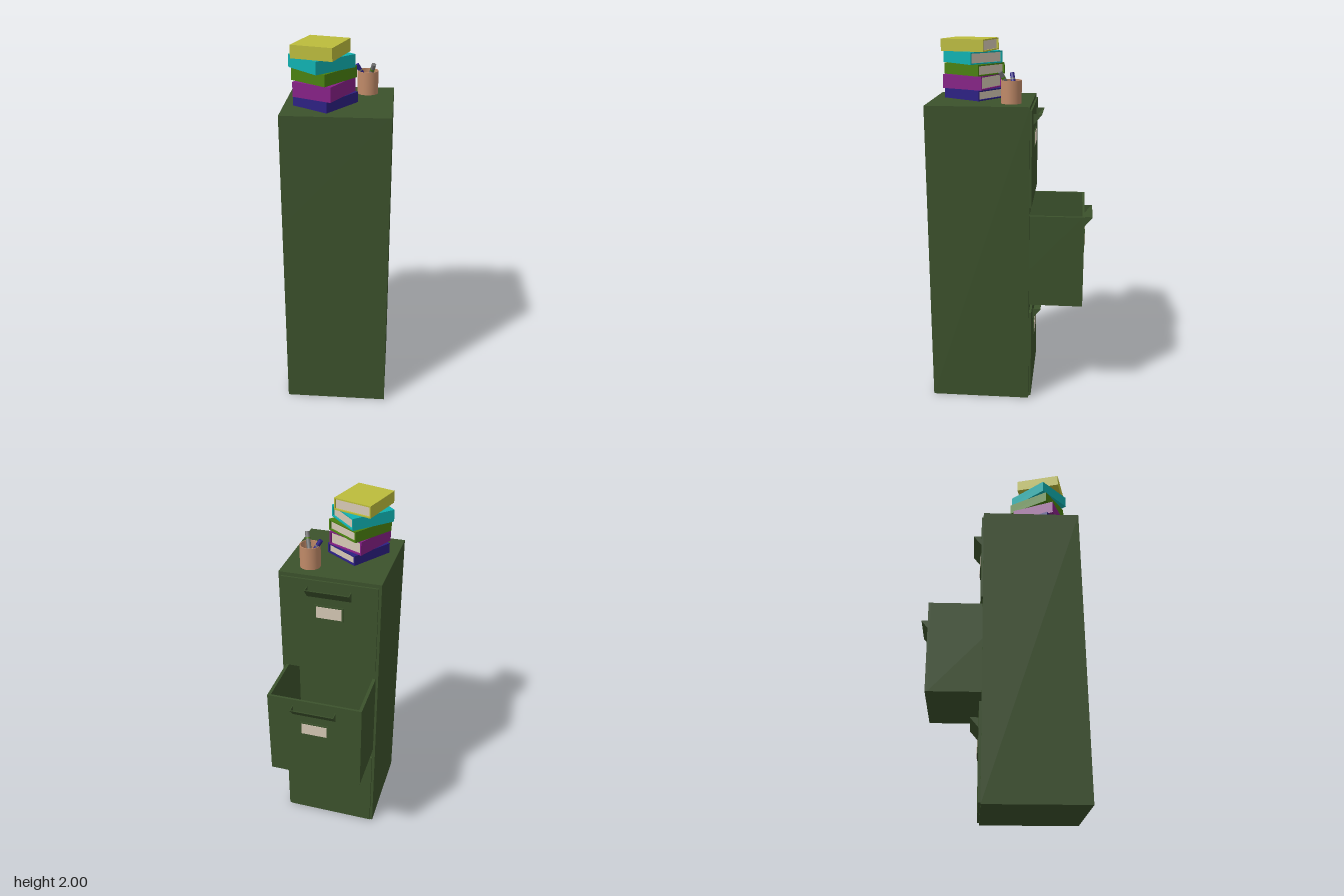
import * as THREE from 'three';

const mat = (name, color) => {
  const m = new THREE.MeshStandardMaterial({ color });
  m.name = name;
  return m;
};

export function createModel() {
  const model = new THREE.Group();
  model.name = 'filingCabinet';
  const steel = mat('cabinetGreen', 0x3c522c);
  const paper = mat('paper', 0xd6c8b5);
  const clay = mat('cupTan', 0xc08a68);
  const grey = mat('penGrey', 0x707070);
  const navy = mat('navy', 0x2c2082);
  const purple = mat('purple', 0x862086);
  const green = mat('bookGreen', 0x4a8010);
  const cyan = mat('cyan', 0x10b0b0);
  const yellow = mat('yellow', 0xbcbc3c);
  clay.side = THREE.DoubleSide;

  const add = (parent, name, geometry, material) => {
    const mesh = new THREE.Mesh(geometry, material);
    mesh.name = name;
    parent.add(mesh);
    return mesh;
  };
  // Box given by its limits on each axis
  const box = (parent, name, material, x0, x1, y0, y1, z0, z1) => {
    const mesh = add(parent, name, new THREE.BoxGeometry(x1 - x0, y1 - y0, z1 - z0), material);
    mesh.position.set((x0 + x1) / 2, (y0 + y1) / 2, (z0 + z1) / 2);
    return mesh;
  };
  const group = (parent, name) => {
    const g = new THREE.Group();
    g.name = name;
    parent.add(g);
    return g;
  };

  // Cabinet body, hollow behind the open drawer
  const body = group(model, 'cabinetBody');
  const back = 0.445, face = -0.105;
  for (const s of [-1, 1]) {
    box(body, 'sideWall', steel, Math.min(s * 0.262, s * 0.275), Math.max(s * 0.262, s * 0.275), 0, 1.68, face, back);
  }
  box(body, 'lowerBay', steel, -0.262, 0.262, 0, 0.575, face, back);
  box(body, 'upperBay', steel, -0.262, 0.262, 1.1, 1.68, face, back);
  box(body, 'backWall', steel, -0.262, 0.262, 0.575, 1.1, back - 0.013, back);

  // Wedge-shaped pull, open at the top; built in profile (out, up) and swept sideways
  const pullShape = (points) => {
    const s = new THREE.Shape(points.map(([a, b]) => new THREE.Vector2(a, b)));
    return s;
  };
  const pull = (parent, y, z) => {
    const g = group(parent, 'handle');
    g.position.set(0, y, z);
    g.rotation.y = Math.PI / 2; // profile +x points out to -z
    const sweep = (name, points, depth, offset) => {
      const geo = new THREE.ExtrudeGeometry(pullShape(points), { depth, bevelEnabled: false });
      add(g, name, geo, steel).position.z = offset;
    };
    sweep('handleLip', [[0, -0.057], [0.045, -0.003], [0.045, 0], [0.041, 0], [0, -0.05]], 0.24, -0.12);
    for (const offset of [-0.12, 0.116]) {
      sweep('handleEnd', [[0, -0.057], [0.045, -0.003], [0.045, 0], [0, 0]], 0.004, offset);
    }
  };

  // Drawer fronts with pull and label
  const drawerFront = (name, y0, y1, zFront, zBack) => {
    const g = group(model, name);
    box(g, 'drawerFront', steel, -0.26, 0.26, y0, y1, zFront, zBack);
    pull(g, y1 - 0.04, zFront);
    box(g, 'labelFrame', steel, -0.078, 0.078, y1 - 0.222, y1 - 0.14, zFront - 0.005, zFront);
    box(g, 'label', paper, -0.07, 0.07, y1 - 0.214, y1 - 0.148, zFront - 0.007, zFront - 0.004);
    return g;
  };
  drawerFront('topDrawer', 1.14, 1.66, -0.115, face);
  drawerFront('bottomDrawer', 0.01, 0.53, -0.118, face);

  // Open drawer tray
  const open = drawerFront('openDrawer', 0.58, 1.095, -0.4, -0.387);
  const trayEnd = 0.09;
  box(open, 'drawerSide', steel, -0.26, -0.243, 0.58, 1.095, -0.387, trayEnd);
  box(open, 'drawerSide', steel, 0.243, 0.26, 0.58, 1.095, -0.387, trayEnd);
  box(open, 'drawerBack', steel, -0.243, 0.243, 0.58, 1.095, trayEnd - 0.013, trayEnd);
  box(open, 'drawerFloor', steel, -0.243, 0.243, 0.58, 0.595, -0.387, trayEnd - 0.013);

  // Stack of books: [material, bottom, top, x, z, turn in degrees]
  const books = group(model, 'books');
  const w = 0.109, d = 0.125, t = 0.007;
  [
    [navy, 1.68, 1.735, -0.066, 0.225, 34],
    [purple, 1.735, 1.81, -0.071, 0.236, 25],
    [green, 1.81, 1.87, -0.072, 0.225, 34.8],
    [cyan, 1.87, 1.935, -0.0825, 0.236, 45],
    [yellow, 1.935, 2.0, -0.085, 0.25, 16],
  ].forEach(([m, y0, y1, x, z, turn]) => {
    const b = group(books, m.name + 'Book');
    const h = y1 - y0;
    box(b, 'lowerCover', m, -w, w, 0, t, -d, d);
    box(b, 'upperCover', m, -w, w, h - t, h, -d, d);
    box(b, 'spine', m, w - t, w, t, h - t, -d, d);
    box(b, 'foreEdge', m, -w, -w + t, t, h - t, -d, d);
    box(b, 'endCover', m, -w + t, w - t, t, h - t, d - t, d);
    box(b, 'pages', paper, -w + t, w - t, t, h - t, -d + 0.01, d - t);
    b.position.set(x, y0, z);
    b.rotation.y = -THREE.MathUtils.degToRad(turn);
  });

  // Pen cup
  const cup = group(model, 'penCup');
  const profile = [[0, 0], [0.055, 0], [0.055, 0.12], [0.05, 0.12], [0.05, 0.008], [0, 0.008]];
  // Each straight run is its own lathe so the edges stay sharp
  for (let i = 0; i < profile.length - 1; i++) {
    const run = [profile[i], profile[i + 1]].map(([a, b]) => new THREE.Vector2(a, b));
    add(cup, 'cupWall', new THREE.LatheGeometry(run, 32), clay);
  }
  cup.position.set(0.136, 1.68, 0.003);

  // Pens leaning in the cup
  const pen = (name, m, bandMat, from, to) => {
    const a = new THREE.Vector3(...from), b = new THREE.Vector3(...to);
    const dir = b.clone().sub(a), len = dir.length();
    const g = group(model, name);
    add(g, 'penBody', new THREE.CylinderGeometry(0.012, 0.012, len, 16), m).position.y = len / 2;
    add(g, 'penBand', new THREE.CylinderGeometry(0.0127, 0.0127, 0.008, 16), bandMat).position.y = len - 0.035;
    g.position.copy(a);
    g.quaternion.setFromUnitVectors(new THREE.Vector3(0, 1, 0), dir.normalize());
  };
  pen('navyPen', navy, grey, [0.155, 1.695, -0.022], [0.077, 1.83, 0.004]);
  pen('greyPen', grey, green, [0.125, 1.695, -0.017], [0.169, 1.845, 0.058]);

  return model;
}
